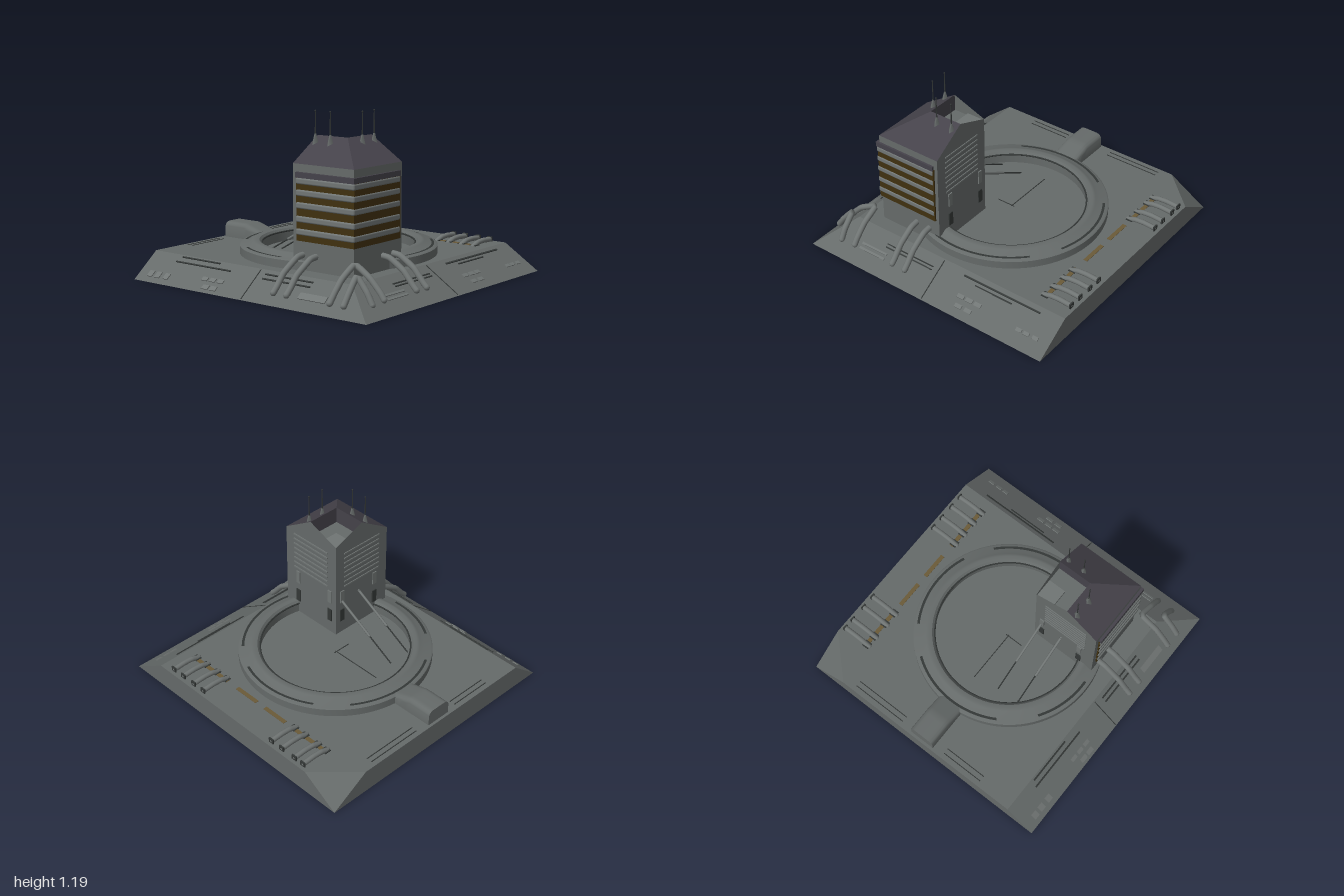
import * as THREE from 'three';
import { toCreasedNormals } from 'three/addons/utils/BufferGeometryUtils.js';
import { RoundedBoxGeometry } from 'three/addons/geometries/RoundedBoxGeometry.js';

const paint = (name, color, side = THREE.FrontSide) => {
  const m = new THREE.MeshStandardMaterial({ color, side });
  m.name = name;
  return m;
};

export function createModel() {
  const model = new THREE.Group();
  model.name = 'landingPlatform';
  const hull = paint('hullGrey', 0x656a69, THREE.DoubleSide);
  const trim = paint('trimGrey', 0x707574);
  const roof = paint('roofSlate', 0x45424a, THREE.DoubleSide);
  const dark = paint('darkGrey', 0x343837, THREE.DoubleSide);
  const glass = paint('amberGlass', 0x40300f);
  const stripe = paint('fadedAmber', 0x6b5a38);

  const add = (name, geo, mat, x = 0, y = 0, z = 0, parent = model) => {
    const m = new THREE.Mesh(geo, mat);
    m.name = name;
    m.position.set(x, y, z);
    parent.add(m);
    return m;
  };
  const box = (name, mat, w, h, d, x, y, z) => add(name, new THREE.BoxGeometry(w, h, d), mat, x, y, z);
  // Flat convex faces, each listed counter-clockwise from outside
  const faces = (name, mat, list) => {
    const pos = [];
    for (const f of list)
      for (let i = 1; i < f.length - 1; i++) pos.push(...f[0], ...f[i], ...f[i + 1]);
    const g = new THREE.BufferGeometry();
    g.setAttribute('position', new THREE.Float32BufferAttribute(pos, 3));
    g.computeVertexNormals();
    return add(name, g, mat);
  };
  const pipe = (name, pts, r, mat = trim) => {
    const curve = new THREE.CatmullRomCurve3(pts.map(p => new THREE.Vector3(...p)), false, 'catmullrom', 0.2);
    add(name, new THREE.TubeGeometry(curve, 28, r, 10), mat);
    for (const t of [0, 1])
      add(name + 'End', new THREE.SphereGeometry(r, 10, 6), mat, ...curve.getPoint(t).toArray());
  };

  // Base shell, open below: sloped front and right, one cut rear corner
  const H = 0.17, L = -0.77, F = 0.73;
  const a = [-0.98, 0, 1], b = [0.98, 0, 1], c = [0.98, 0, -1], d = [-0.98, 0, -1];
  const A = [L, H, F], B = [0.98, H, F], C1 = [0.98, H, -0.73], C2 = [0.7, H, -1], D = [L, H, -1];
  faces('base', hull, [
    [A, B, C1, C2, D], [a, b, B, A], [b, c, C1, B], [c, C2, C1], [c, d, D, C2], [d, a, A, D],
  ]);

  // Landing ring with its stepped outer edge
  const profile = [[0.68, 0.16], [0.68, 0.225], [0.67, 0.232], [0.62, 0.235], [0.59, 0.258],
    [0.57, 0.262], [0.545, 0.258], [0.53, 0.24], [0.53, 0.16]].map(p => new THREE.Vector2(...p));
  add('landingRing', toCreasedNormals(new THREE.LatheGeometry(profile, 96), 0.6), hull);
  add('ringLip', new THREE.TorusGeometry(0.527, 0.006, 6, 96).rotateX(Math.PI / 2), dark, 0, 0.24, 0);
  for (const [start, len] of [[0.95, 1.15], [-0.38, 0.95], [2.55, 0.65], [4.45, 1.1]])
    add('ringSlot', new THREE.RingGeometry(0.638, 0.656, 32, 1, start, len).rotateX(-Math.PI / 2), dark, 0, 0.236, 0);
  // Pad seams
  box('padSeam', dark, 0.006, 0.004, 0.4, 0, H + 0.001, -0.2);
  box('padSeam', dark, 0.14, 0.004, 0.006, -0.05, H + 0.001, -0.01);

  // Rear housing, tapering down toward the ring
  const arch = new THREE.Shape();
  arch.moveTo(-0.095, 0).lineTo(0.095, 0).lineTo(0.095, 0.07);
  arch.quadraticCurveTo(0.09, 0.11, 0.045, 0.11).lineTo(-0.045, 0.11).quadraticCurveTo(-0.09, 0.11, -0.095, 0.07);
  const housing = new THREE.ExtrudeGeometry(arch, { depth: 0.36, steps: 12, bevelEnabled: false, curveSegments: 8 });
  const hp = housing.attributes.position;
  for (let i = 0; i < hp.count; i++) {
    const t = Math.max(0, (hp.getZ(i) - 0.18) / 0.18);
    hp.setY(i, hp.getY(i) * (1 - 0.5 * t));
  }
  housing.computeVertexNormals();
  add('rearHousing', toCreasedNormals(housing, 0.6), hull, 0, H, -0.98);

  // Tower walls, with gables on the two pad-facing sides
  const x0 = -0.63, x1 = -0.38, x2 = -0.13, z0 = 0.13, z1 = 0.38, z2 = 0.63;
  const E = 0.86, T = 1.02, V = 0.925, R = 0.9;
  faces('towerWalls', hull, [
    [[x0, H, z2], [x2, H, z2], [x2, E, z2], [x0, E, z2]],
    [[x0, H, z0], [x0, H, z2], [x0, E, z2], [x0, E, z0]],
    [[x2, H, z2], [x2, H, z0], [x2, V, z0], [x2, T, z1], [x2, E, z2]],
    [[x2, H, z0], [x0, H, z0], [x0, E, z0], [x1, T, z0], [x2, V, z0]],
  ]);
  faces('towerRoof', roof, [
    [[x0, E, z2], [x2, E, z2], [x2, T, z1], [x1, T, z1]],
    [[x0, E, z0], [x0, E, z2], [x1, T, z1], [x1, T, z0]],
    [[x1, R, z1], [x1, R, z0], [x1, T, z0], [x1, T, z1]],
    [[x2, R, z1], [x1, R, z1], [x1, T, z1], [x2, T, z1]],
  ]);
  faces('roofTerrace', hull, [[[x1, R, z1], [x2, R, z1], [x2, R, z0], [x1, R, z0]]]);
  box('terraceBlock', trim, 0.13, 0.02, 0.13, -0.2, R + 0.01, 0.2);

  // Window floors: amber glass between protruding ledges
  box('windowBand', glass, 0.485, 0.42, 0.475, -0.3975, 0.57, 0.4025);
  for (const y of [0.751, 0.674, 0.592, 0.503, 0.42])
    add('windowLedge', new RoundedBoxGeometry(0.49, 0.042, 0.48, 3, 0.012), trim, -0.405, y, 0.405);
  box('topLedge', roof, 0.49, 0.036, 0.48, -0.405, 0.79, 0.405);

  // Details repeated on both pad-facing walls
  const wallDetail = (name, mat, u, y, w, h, t) => {
    box(name, mat, t, h, w, x2, y, u);
    box(name, mat, w, h, t, -u, y, z0);
  };
  for (let i = 0; i < 8; i++) wallDetail('wallRib', trim, 0.38, 0.56 + i * 0.04, 0.34, 0.01, 0.012);
  for (const u of [0.19, 0.51]) {
    wallDetail('wallPanel', trim, u, 0.48, 0.035, 0.1, 0.016);
    wallDetail('wallVent', dark, u, 0.32, 0.04, 0.1, 0.014);
  }

  // Roof masts on small fins
  for (const [x, z] of [[-0.44, 0.16], [-0.44, 0.285], [-0.29, 0.43], [-0.165, 0.43]]) {
    add('mast', new THREE.CylinderGeometry(0.003, 0.005, 0.21, 8), dark, x, 1.08, z);
    add('mastTip', new THREE.SphereGeometry(0.006, 8, 6), dark, x, 1.185, z);
    add('mastFin', new THREE.CylinderGeometry(0.008, 0.028, 0.07, 4), hull, x, 1.0, z);
  }

  // Struts from the tower down onto the pad
  for (const x of [-0.355, -0.185]) {
    pipe('strut', [[x, 0.45, 0.13], [x, 0.29, -0.15]], 0.009, trim);
    pipe('strutTip', [[x, 0.29, -0.15], [x, 0.17, -0.36]], 0.005, dark);
  }

  // Pipes running down the slopes
  for (const x of [-0.33, -0.22])
    pipe('frontPipe', [[x, 0.27, 0.62], [x, 0.26, 0.69], [x, 0.19, 0.8], [x, 0.11, 0.87], [x, 0.08, 0.9]], 0.021);
  for (const z of [0.21, 0.32])
    pipe('sidePipe', [[-0.62, 0.27, z], [-0.69, 0.26, z], [-0.82, 0.18, z], [-0.88, 0.11, z], [-0.92, 0.07, z]], 0.021);
  pipe('cornerPipe', [[-0.92, 0.07, 0.67], [-0.87, 0.13, 0.67], [-0.8, 0.2, 0.67], [-0.67, 0.27, 0.67],
    [-0.67, 0.2, 0.79], [-0.67, 0.12, 0.87], [-0.67, 0.08, 0.9]], 0.021);
  pipe('cornerPipe', [[-0.92, 0.07, 0.78], [-0.87, 0.14, 0.78], [-0.79, 0.23, 0.78],
    [-0.79, 0.14, 0.86], [-0.79, 0.07, 0.9]], 0.021);

  // Conduits along the opposite edge, with faded marking strip
  for (const z of [-0.68, -0.6, -0.48, -0.38, 0.31, 0.41, 0.52, 0.62]) {
    pipe('edgeConduit', [[0.73, 0.165, z], [0.79, 0.185, z], [0.86, 0.19, z], [0.94, 0.185, z]], 0.018);
    box('conduitCap', dark, 0.01, 0.04, 0.04, 0.95, 0.185, z);
    box('conduitSocket', dark, 0.05, 0.006, 0.05, 0.75, H + 0.003, z);
  }
  for (const [z, len] of [[-0.54, 0.3], [-0.2, 0.2], [0.08, 0.2], [0.46, 0.36]])
    box('markingStrip', stripe, 0.03, 0.004, len, 0.755, H + 0.001, z);

  // Plates laid on the sloped sides
  const onFront = (name, mat, x, z, w, len, t = 0.012) => {
    box(name, mat, w, t, len, x, H * (1 - z) / (1 - F), z).rotation.x = Math.atan(H / (1 - F));
  };
  const onSide = (name, mat, x, z, w, len, t = 0.012) => {
    box(name, mat, w, t, len, x, H * (x + 0.98) / (L + 0.98), z).rotation.z = Math.atan(H / (L + 0.98));
  };
  for (const x of [0.25, 0.32, 0.39]) onFront('slopePlate', trim, x, 0.88, 0.055, 0.028);
  for (const x of [0.27, 0.35]) onFront('slopePlate', trim, x, 0.935, 0.055, 0.028);
  for (const x of [0.74, 0.8, 0.87]) onFront('slopePlate', trim, x, 0.9, 0.045, 0.025);
  for (const z of [0.86, 0.89]) onFront('slopePlate', trim, -0.52, z, 0.22, 0.016);
  onFront('slopeSlot', dark, 0.5, 0.765, 0.62, 0.012);
  onFront('slopeSlot', dark, 0.45, 0.79, 0.3, 0.008);
  for (const z of [0.8, 0.82]) onFront('slopeSlot', dark, -0.25, z, 0.4, 0.008);
  onFront('slopeSeam', dark, 0, 0.865, 0.006, 0.3, 0.006);
  for (const z of [-0.89, -0.82, -0.74]) onSide('sidePlate', trim, -0.925, z, 0.05, 0.045);
  for (const z of [-0.36, -0.29]) onSide('sidePlate', trim, -0.945, z, 0.035, 0.055);
  for (const z of [-0.41, -0.34, -0.27]) onSide('sidePlate', trim, -0.895, z, 0.03, 0.05);
  onSide('sidePlate', trim, -0.89, 0.51, 0.05, 0.22);
  for (const [x, z, len] of [[-0.82, -0.5, 0.5], [-0.785, -0.55, 0.35], [-0.83, 0.24, 0.4], [-0.8, 0.24, 0.4]])
    onSide('sideSlot', dark, x, z, 0.01, len);
  onSide('sideSeam', dark, -0.875, -0.02, 0.25, 0.006, 0.006);

  // Shallow slots along the rear of the deck
  for (const [x, w] of [[-0.34, 0.32], [0.4, 0.42]])
    for (const z of [-0.96, -0.92]) box('deckSlot', dark, w, 0.004, 0.006, x, H + 0.001, z);
  return model;
}
